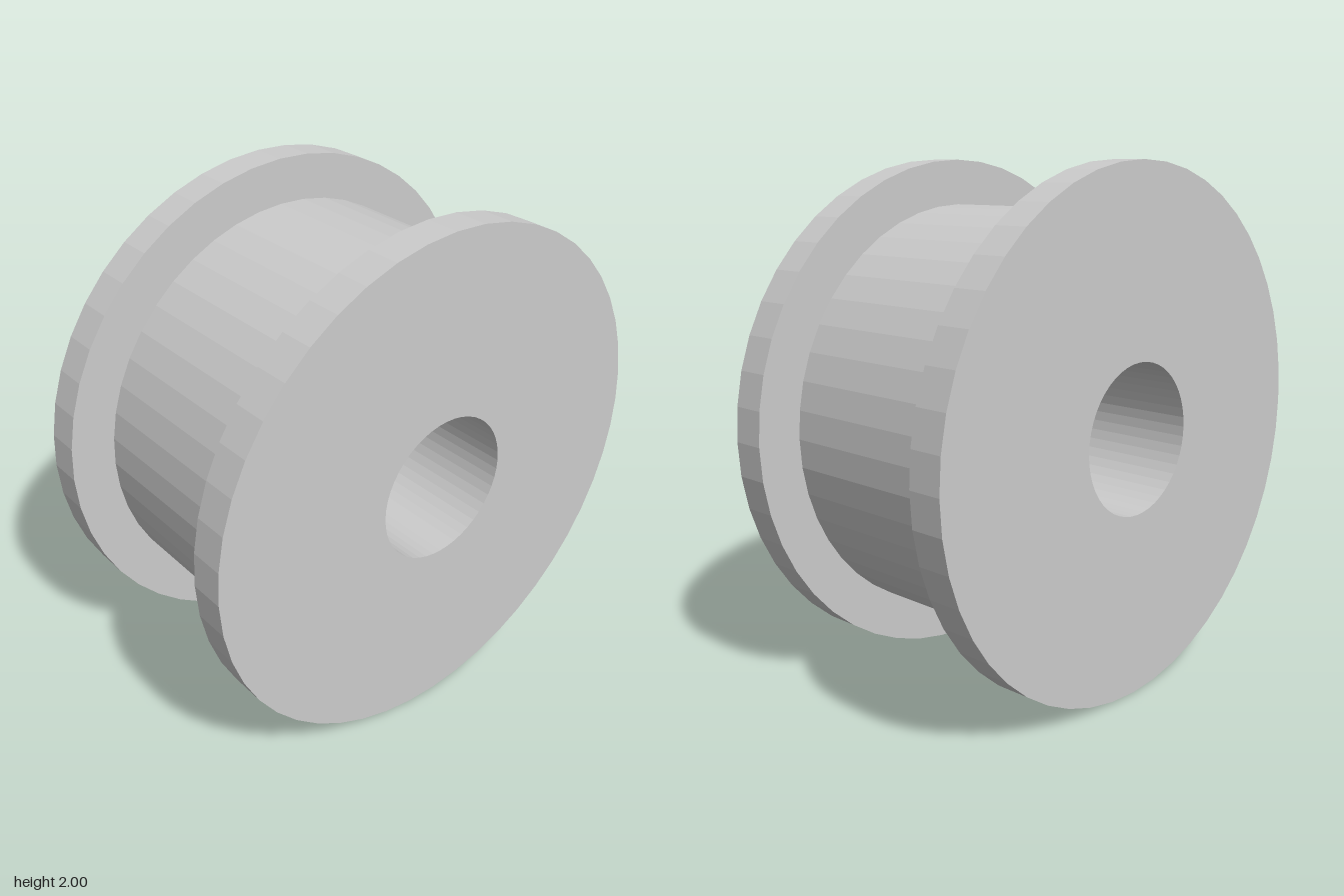
import * as THREE from 'three';

const SEGMENTS = 48;
const FLANGE_R = 1, HUB_R = 0.825, BORE_R = 0.287;
const HALF_WIDTH = 0.53, HALF_GAP = 0.395;

export function createModel() {
  const group = new THREE.Group();
  group.name = 'flangedSpool';
  const material = new THREE.MeshStandardMaterial({ color: 0xcccccc, flatShading: true });

  // Revolve [radius, z] points about the z axis
  const addRing = (name, profile) => {
    const geometry = new THREE.LatheGeometry(profile.map(([r, z]) => new THREE.Vector2(r, z)), SEGMENTS);
    geometry.rotateX(Math.PI / 2);
    const mesh = new THREE.Mesh(geometry, material);
    mesh.name = name;
    mesh.position.y = FLANGE_R;
    group.add(mesh);
    return mesh;
  };

  // Outer barrel and through bore
  addRing('hub', [[HUB_R, -HALF_GAP], [HUB_R, HALF_GAP]]);
  addRing('bore', [[BORE_R, HALF_WIDTH], [BORE_R, -HALF_WIDTH]]);

  // Matching end flanges: inner step, rim and outer face
  const flange = [[HUB_R, HALF_GAP], [FLANGE_R, HALF_GAP], [FLANGE_R, HALF_WIDTH], [BORE_R, HALF_WIDTH]];
  addRing('frontFlange', flange);
  addRing('backFlange', flange).rotation.y = Math.PI;

  return group;
}
